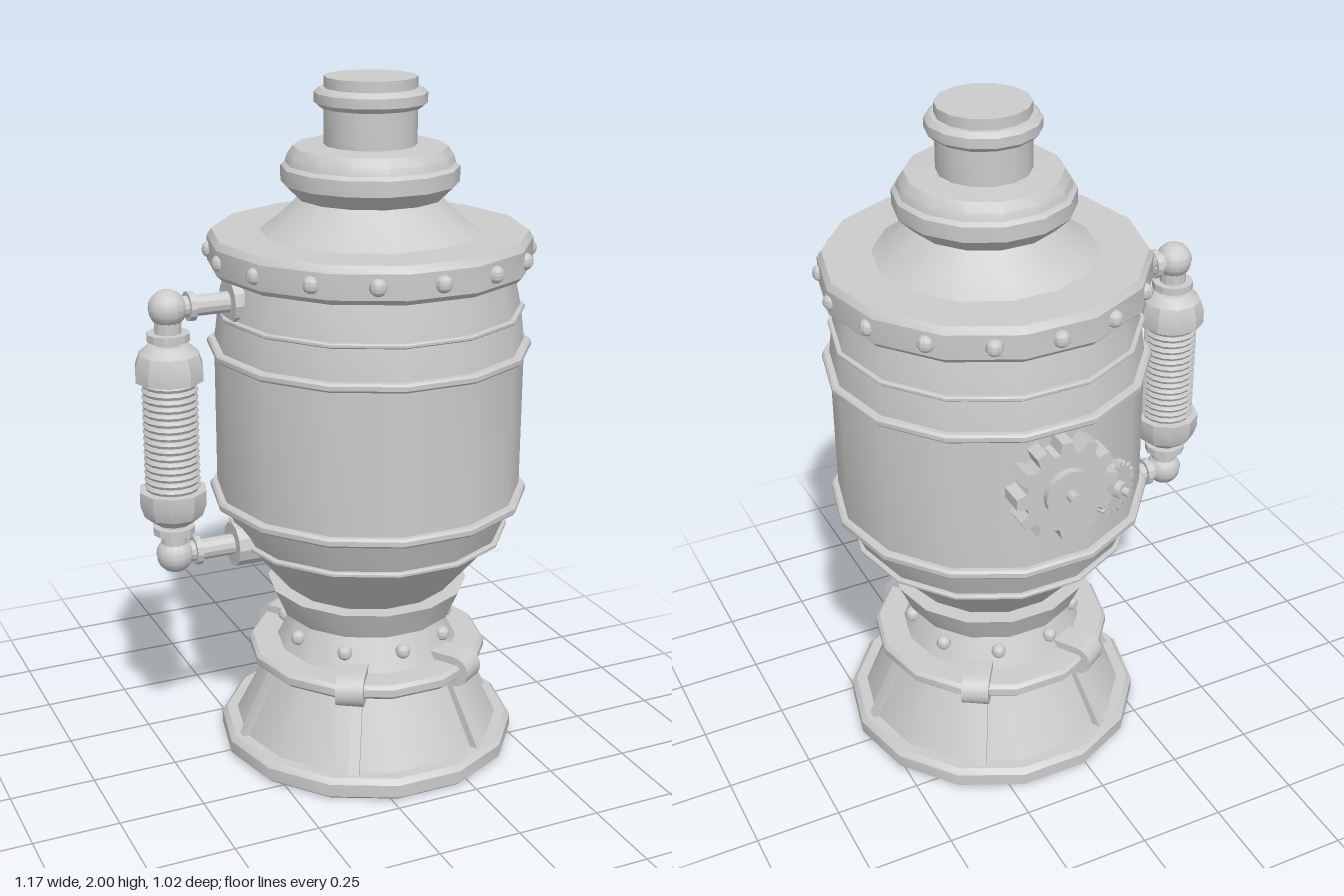
import * as THREE from 'three';
import { toCreasedNormals } from 'three/addons/utils/BufferGeometryUtils.js';

const material = new THREE.MeshStandardMaterial({ color: 0xcccccc });
const SIDES = 14;

function add(parent, name, geometry, x = 0, y = 0, z = 0) {
  const mesh = new THREE.Mesh(toCreasedNormals(geometry, 0.5), material);
  mesh.name = name;
  mesh.position.set(x, y, z);
  parent.add(mesh);
  return mesh;
}

// Turned part from [radius, height] pairs, bottom to top, flat sides to front and back
function turned(parent, name, profile, sides = SIDES) {
  const points = profile.map(([r, y]) => new THREE.Vector2(r, y));
  return add(parent, name, new THREE.LatheGeometry(points, sides, Math.PI / sides));
}

// Bevelled hoop around the body
function hoop(parent, name, y0, y1, r, inner) {
  const b = (y1 - y0) * 0.25;
  return turned(parent, name, [[inner, y0], [r - b, y0], [r, y0 + b], [r, y1 - b], [r - b, y1], [inner, y1]]);
}

// Empty group turned so that its +z points outward at the given angle
function spoke(parent, name, angle) {
  const g = new THREE.Group();
  g.name = name;
  g.rotation.y = angle;
  parent.add(g);
  return g;
}

function rivets(parent, name, count, radius, y, size) {
  for (let i = 0; i < count; i++) {
    const g = spoke(parent, name, (i / count) * Math.PI * 2);
    add(g, name, new THREE.SphereGeometry(size, 10, 8), 0, y, radius);
  }
}

// Horizontal cylinder along x
function barX(parent, name, x0, x1, y, r) {
  const m = add(parent, name, new THREE.CylinderGeometry(r, r, x1 - x0, 12), (x0 + x1) / 2, y, 0);
  m.rotation.z = Math.PI / 2;
  return m;
}

// Toothed wheel with hub and axle, facing outward
function gear(parent, name, angle, y, o) {
  const g = spoke(parent, name, angle);
  const shape = new THREE.Shape();
  const step = (Math.PI * 2) / o.teeth;
  for (let i = 0; i < o.teeth; i++) {
    [[-0.36, o.root], [-0.2, o.radius], [0.2, o.radius], [0.36, o.root]].forEach(([f, r], k) => {
      const a = (i + f) * step;
      if (i + k === 0) shape.moveTo(r * Math.cos(a), r * Math.sin(a));
      else shape.lineTo(r * Math.cos(a), r * Math.sin(a));
    });
  }
  shape.closePath();
  const depth = o.front - o.back;
  add(g, name + 'Wheel', new THREE.ExtrudeGeometry(shape, { depth, bevelEnabled: false }), 0, y, o.back);
  const hub = add(g, name + 'Hub', new THREE.CylinderGeometry(o.hub, o.hub, 0.02, 16), 0, y, o.front + 0.01);
  const axle = add(g, name + 'Axle', new THREE.CylinderGeometry(o.axle, o.axle, o.tip - o.back, 10), 0, y, (o.tip + o.back) / 2);
  hub.rotation.x = axle.rotation.x = Math.PI / 2;
}

function buildBase(parent) {
  turned(parent, 'foot', [[0, 0], [0.43, 0], [0.445, 0.012], [0.445, 0.05], [0.43, 0.065], [0.38, 0.065]]);
  turned(parent, 'baseCone', [[0.4, 0.06], [0.21, 0.44]]);
  hoop(parent, 'baseHoop', 0.277, 0.32, 0.357, 0.26);
  rivets(parent, 'baseRivet', 9, 0.248, 0.373, 0.022);

  // Ribs down the cone
  for (let i = 0; i < 6; i++) {
    const g = spoke(parent, 'baseRib', Math.PI / 6 + (i * Math.PI) / 3);
    const rib = add(g, 'baseRib', new THREE.BoxGeometry(0.03, 0.25, 0.03), 0, 0.17, 0.342);
    rib.rotation.x = -0.47;
  }

  // Rounded clamps gripping the hoop
  const profile = new THREE.Shape();
  profile.moveTo(0.24, 0.25);
  profile.lineTo(0.325, 0.25);
  profile.absarc(0.325, 0.297, 0.047, -Math.PI / 2, Math.PI / 2, false);
  profile.lineTo(0.24, 0.344);
  profile.closePath();
  for (const a of [33, 147, 213, 327]) {
    const g = spoke(parent, 'clamp', THREE.MathUtils.degToRad(a));
    const geo = new THREE.ExtrudeGeometry(profile, { depth: 0.08, bevelEnabled: false, curveSegments: 5 });
    geo.translate(0, 0, -0.04);
    geo.rotateY(-Math.PI / 2);
    add(g, 'clamp', geo);
  }
}

function buildBody(parent) {
  turned(parent, 'waistCollar', [[0.2, 0.43], [0.26, 0.43], [0.297, 0.515], [0.24, 0.515]]);
  turned(parent, 'lowerHull', [[0.24, 0.505], [0.395, 0.69]]);
  turned(parent, 'lowerBand', [[0.395, 0.69], [0.442, 0.805]]);
  turned(parent, 'barrel', [[0.445, 0.8], [0.445, 1.25]]);
  turned(parent, 'shoulder', [[0.445, 1.25], [0.432, 1.355], [0.405, 1.48]]);
  hoop(parent, 'lowerThinHoop', 0.683, 0.697, 0.412, 0.38);
  hoop(parent, 'lowerHoop', 0.793, 0.82, 0.465, 0.43);
  hoop(parent, 'upperHoop', 1.235, 1.26, 0.465, 0.43);
  hoop(parent, 'upperThinHoop', 1.35, 1.363, 0.443, 0.41);
  turned(parent, 'topFlange', [[0.39, 1.47], [0.445, 1.47], [0.46, 1.485], [0.46, 1.555], [0.447, 1.575], [0.3, 1.575]]);
  rivets(parent, 'flangeRivet', 16, 0.45, 1.52, 0.024);
}

function buildTop(parent) {
  turned(parent, 'dome', [[0.315, 1.572], [0.255, 1.615], [0.195, 1.675]]);
  turned(parent, 'domeCollar', [[0.18, 1.67], [0.207, 1.67], [0.25, 1.712], [0.25, 1.755], [0.238, 1.765],
    [0.232, 1.785], [0.215, 1.81], [0.12, 1.815]]);
  turned(parent, 'neck', [[0.13, 1.81], [0.13, 1.93]]);
  turned(parent, 'neckRing', [[0.12, 1.917], [0.143, 1.917], [0.157, 1.93], [0.157, 1.957], [0.143, 1.97], [0.12, 1.97]]);
  turned(parent, 'cap', [[0.13, 1.96], [0.13, 2], [0, 2]]);
}

// Side pipe: mirrored end fittings around a coiled middle
function buildPipe(parent) {
  const pipe = new THREE.Group();
  pipe.name = 'sidePipe';
  pipe.position.y = 1.05;
  parent.add(pipe);
  const x = -0.604;

  for (const up of [true, false]) {
    const end = new THREE.Group();
    end.name = up ? 'upperFitting' : 'lowerFitting';
    if (!up) end.rotation.x = Math.PI;
    pipe.add(end);
    turned(end, 'pipeBulb', [[0, 0.16], [0.097, 0.16], [0.097, 0.2], [0.085, 0.235], [0.055, 0.26], [0, 0.262]], 10).position.x = x;
    add(end, 'uprightTube', new THREE.CylinderGeometry(0.038, 0.038, 0.12, 12), x, 0.31, 0);
    add(end, 'tubeFlange', new THREE.CylinderGeometry(0.06, 0.06, 0.022, 12), x, 0.282, 0);
    add(end, 'elbow', new THREE.SphereGeometry(0.053, 14, 10), x, 0.36, 0);
    barX(end, 'crossTube', x, -0.36, 0.36, 0.03);
    barX(end, 'crossTubeFlange', -0.548, -0.53, 0.36, 0.042);
    barX(end, 'wallSocket', -0.43, up ? -0.36 : -0.25, 0.36, 0.065);
  }

  add(pipe, 'coilCore', new THREE.CylinderGeometry(0.068, 0.068, 0.33, 14), x, 0, 0);
  for (let i = 0; i < 16; i++) {
    const coil = add(pipe, 'coil', new THREE.TorusGeometry(0.069, 0.01, 6, 16), x, -0.15 + i * 0.02, 0);
    coil.rotation.x = Math.PI / 2;
  }
}

export function createModel() {
  const model = new THREE.Group();
  model.name = 'boiler';
  const body = new THREE.Group();
  body.name = 'boilerBody';
  body.position.set(0.114, 0, 0.033);
  model.add(body);

  buildBase(body);
  buildBody(body);
  buildTop(body);
  buildPipe(body);

  // Meshing gears on the back
  gear(body, 'largeGear', Math.PI, 1.08, { teeth: 12, radius: 0.152, root: 0.122, hub: 0.073, axle: 0.016, back: 0.425, front: 0.495, tip: 0.543 });
  gear(body, 'smallGear', Math.PI + (Math.PI * 2) / SIDES, 0.98, { teeth: 18, radius: 0.08, root: 0.067, hub: 0.025, axle: 0.012, back: 0.425, front: 0.46, tip: 0.5 });
  return model;
}
